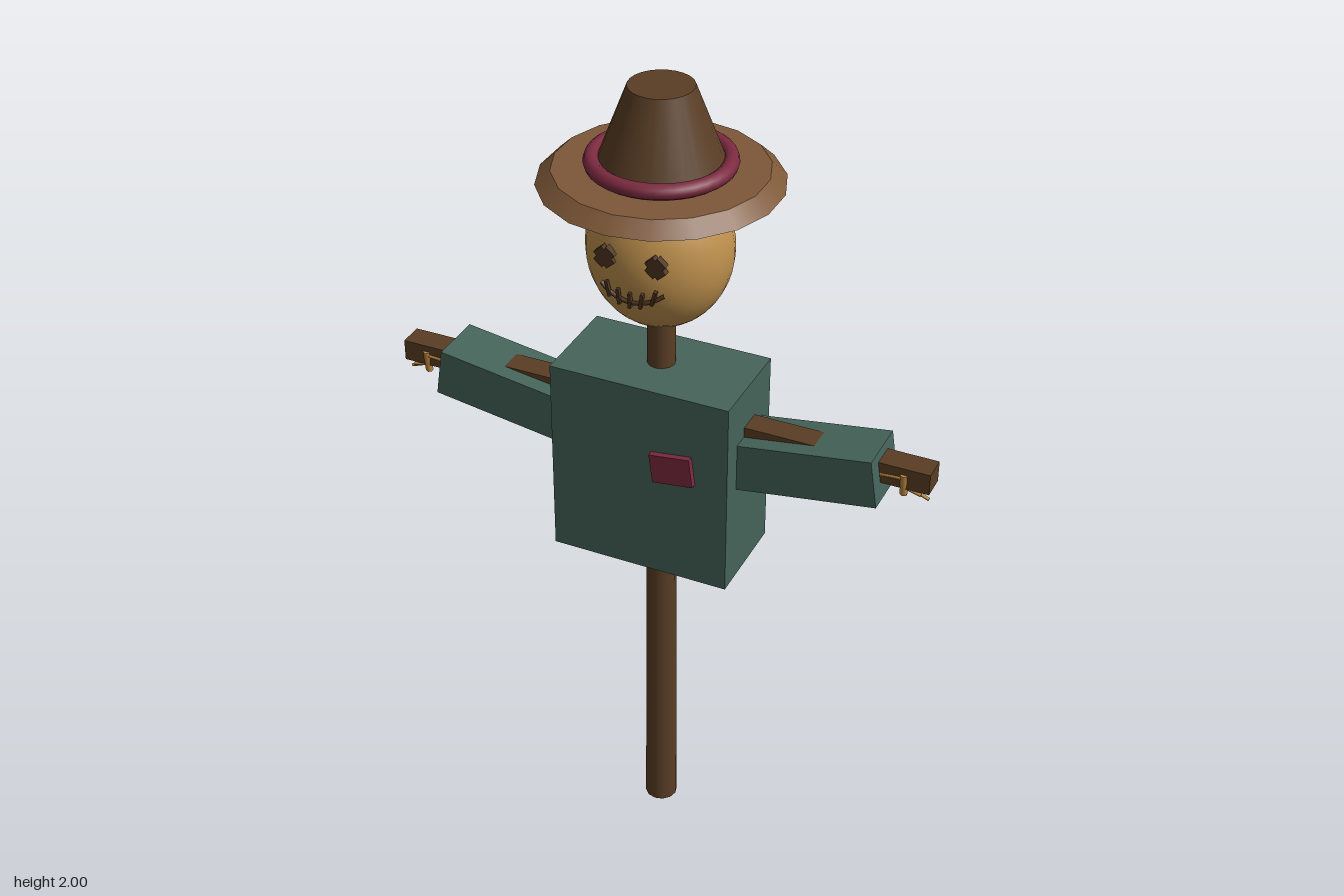
import * as THREE from 'three';

const mat = (name, color, opts = {}) => {
  const m = new THREE.MeshStandardMaterial({ color, ...opts });
  m.name = name;
  return m;
};

export function createModel() {
  const wood = mat('wood', 0x5a3e25);
  const cloth = mat('cloth', 0x45645a);
  const burlap = mat('burlap', 0xc0924e);
  const felt = mat('brim felt', 0x7e5838);
  const red = mat('dark red', 0x7c2a40);
  const straw = mat('straw', 0xc08a40);
  const thread = mat('thread', 0x4c3420);

  const model = new THREE.Group();
  model.name = 'scarecrow';
  const add = (name, geo, material, x = 0, y = 0, z = 0, parent = model) => {
    const m = new THREE.Mesh(geo, material);
    m.name = name;
    m.position.set(x, y, z);
    parent.add(m);
    return m;
  };
  // Thin rod running between two points
  const rod = (name, a, b, r0, r1, material) => {
    const p = new THREE.Vector3(...a), q = new THREE.Vector3(...b);
    const d = q.clone().sub(p);
    const m = add(name, new THREE.CylinderGeometry(r1, r0, d.length(), 6), material);
    m.position.copy(p).add(q).multiplyScalar(0.5);
    m.quaternion.setFromUnitVectors(new THREE.Vector3(0, 1, 0), d.normalize());
    return m;
  };

  // Post and crossbar
  add('post', new THREE.CylinderGeometry(0.032, 0.04, 1.5, 12), wood, 0, 0.75, 0);
  add('crossbar', new THREE.BoxGeometry(1.32, 0.052, 0.06), wood, 0, 1.195, 0.003);

  // Shirt with a tilted patch
  add('shirt', new THREE.BoxGeometry(0.44, 0.495, 0.24), cloth, 0, 1.073, 0.005);
  const patch = add('patch', new THREE.BoxGeometry(0.1, 0.073, 0.018), red, 0.087, 1.13, 0.131);
  patch.rotation.z = 0.13;

  // Sleeves and straw hands
  for (const s of [-1, 1]) {
    const sleeve = add('sleeve', new THREE.BoxGeometry(0.4, 0.118, 0.138), cloth, s * 0.347, 1.155, 0.003);
    sleeve.rotation.z = s * 0.15;
    const strands = [
      [1.185, 0.0, 0.655, 1.142, 0.012],
      [1.18, 0.015, 0.64, 1.158, 0.026],
      [1.175, -0.015, 0.65, 1.165, -0.02],
      [1.19, 0.028, 0.6, 1.195, 0.033],
    ];
    for (const [y0, z0, x1, y1, z1] of strands)
      rod('strawStrand', [s * 0.53, y0, z0], [s * x1, y1, z1], 0.006, 0.004, straw);
    rod('strawTie', [s * 0.6, 1.205, 0.032], [s * 0.6, 1.15, 0.025], 0.009, 0.009, straw);
  }

  // Head
  const head = add('head', new THREE.SphereGeometry(0.167, 32, 24), burlap, 0, 1.625, 0.005);
  head.scale.set(1, 1.14, 0.92);
  const faceZ = (x, y) =>
    0.005 + 0.154 * Math.sqrt(1 - (x / 0.167) ** 2 - ((y - 1.625) / 0.19) ** 2);

  // Cross-stitched eyes
  for (const s of [-1, 1])
    for (const a of [-1, 1]) {
      const eye = add('eyeStitch', new THREE.BoxGeometry(0.046, 0.026, 0.016), thread,
        s * 0.06, 1.657, faceZ(0.06, 1.657) + 0.007);
      eye.rotation.z = a * 0.85;
    }

  // Smile with upright stitches
  const smileY = x => 1.558 + 5 * x * x;
  const smile = [];
  for (let i = -5; i <= 5; i++) {
    const x = i * 0.015;
    smile.push(new THREE.Vector3(x, smileY(x), faceZ(x, smileY(x)) + 0.006));
  }
  add('smile', new THREE.TubeGeometry(new THREE.CatmullRomCurve3(smile), 24, 0.005, 6), thread);
  for (let i = -2; i <= 2; i++) {
    const x = i * 0.027, y = smileY(x) + 0.008, z = faceZ(x, y) + 0.009;
    add('mouthStitch', new THREE.BoxGeometry(0.007, 0.036, 0.01), thread, x, y, z).rotation.z = -i * 0.12;
  }

  // Hat
  const hat = new THREE.Group();
  hat.name = 'hat';
  model.add(hat);
  add('brim', new THREE.CylinderGeometry(0.238, 0.272, 0.032, 18), felt, 0, 1.795, 0, hat);
  add('crown', new THREE.CylinderGeometry(0.073, 0.146, 0.19, 24), wood, 0, 1.905, 0, hat);
  add('hatBand', new THREE.TorusGeometry(0.15, 0.018, 10, 36), red, 0, 1.828, 0, hat).rotation.x = Math.PI / 2;

  return model;
}
